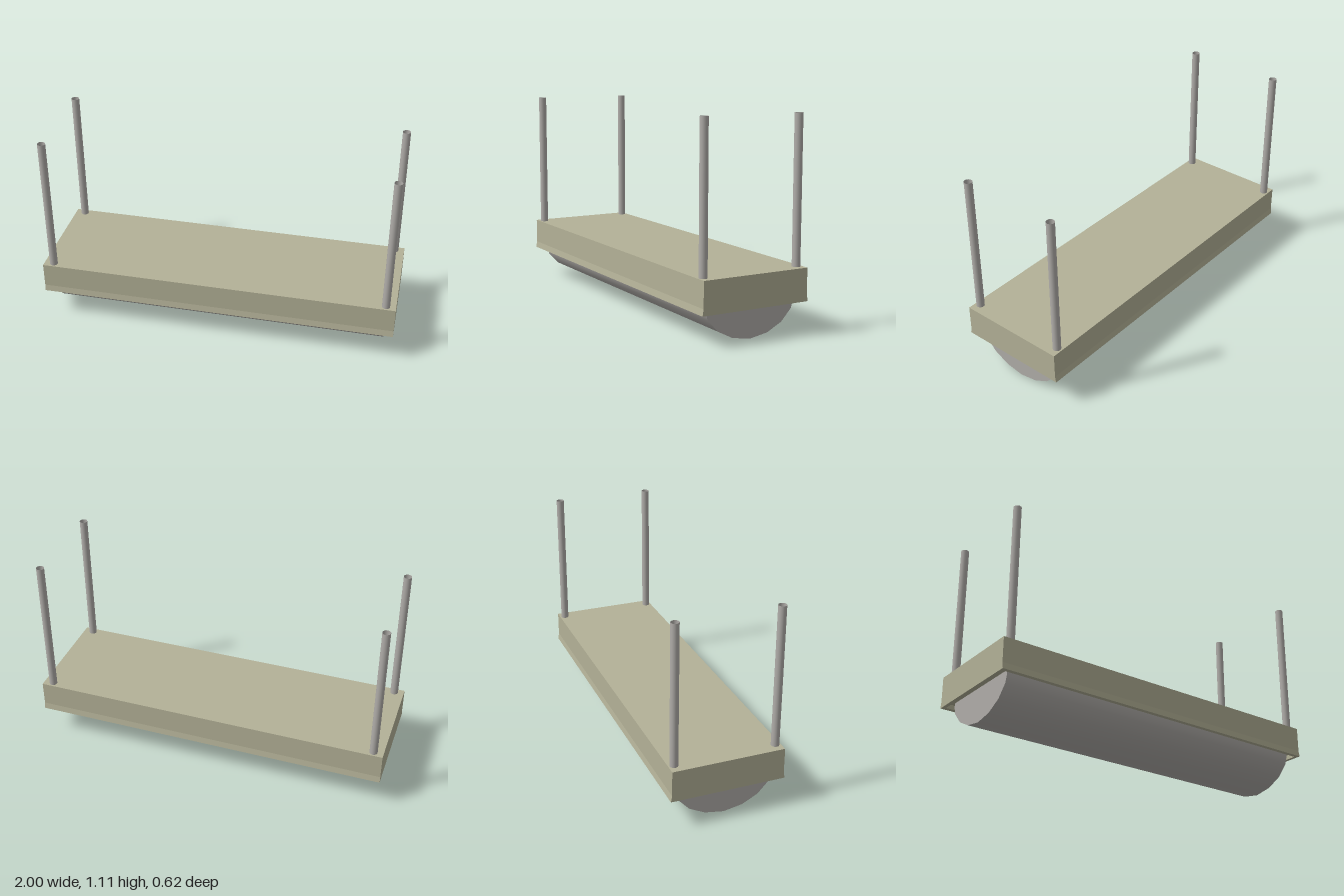
import * as THREE from 'three';
import { toCreasedNormals } from 'three/addons/utils/BufferGeometryUtils.js';

// Extrude a (z, y) profile along x, centred on x = 0.
function extrudeAlongX(points, length) {
  const shape = new THREE.Shape(points.map(([z, y]) => new THREE.Vector2(z, y)));
  const geometry = new THREE.ExtrudeGeometry(shape, { depth: length, bevelEnabled: false });
  return geometry.translate(0, 0, -length / 2).rotateY(Math.PI / 2);
}

// Complete a half profile by mirroring it across z = 0.
const mirrored = (half) => [...half, ...half.map(([z, y]) => [-z, y]).reverse()];

export function createModel() {
  const model = new THREE.Group();
  const housingPaint = new THREE.MeshStandardMaterial({ color: 0xb3b197 });
  housingPaint.name = 'olive beige paint';
  const grey = new THREE.MeshStandardMaterial({ color: 0xb0ada9, side: THREE.DoubleSide });
  grey.name = 'warm grey';

  const add = (name, geometry, material, x = 0, y = 0, z = 0) => {
    const mesh = new THREE.Mesh(geometry, material);
    mesh.name = name;
    mesh.position.set(x, y, z);
    model.add(mesh);
  };

  // Housing: shallow inverted tray with a slightly flared lower lip
  const outer = [[0.306, 0.338], [0.306, 0.2], [0.312, 0.165]];
  const tray = mirrored([...outer, [0.288, 0.165], [0.288, 0.19]]);
  add('housing', extrudeAlongX(tray, 1.96), housingPaint);
  for (const side of [-1, 1]) {
    add('housingEnd', extrudeAlongX(mirrored(outer), 0.02), housingPaint, side * 0.99);
  }

  // Rounded diffuser hanging below the housing
  const bowl = mirrored([
    [0.26, 0.192], [0.26, 0.165], [0.248, 0.125], [0.19, 0.062], [0.104, 0.018],
  ]);
  bowl.splice(5, 0, [0, 0]);
  add('diffuser', toCreasedNormals(extrudeAlongX(bowl, 1.89), 0.7), grey);

  // Four open suspension tubes
  const tube = new THREE.CylinderGeometry(0.022, 0.022, 0.776, 16, 1, true);
  for (const x of [-0.945, 0.945]) {
    for (const z of [-0.276, 0.276]) add('suspensionTube', tube, grey, x, 0.726, z);
  }

  return model;
}
